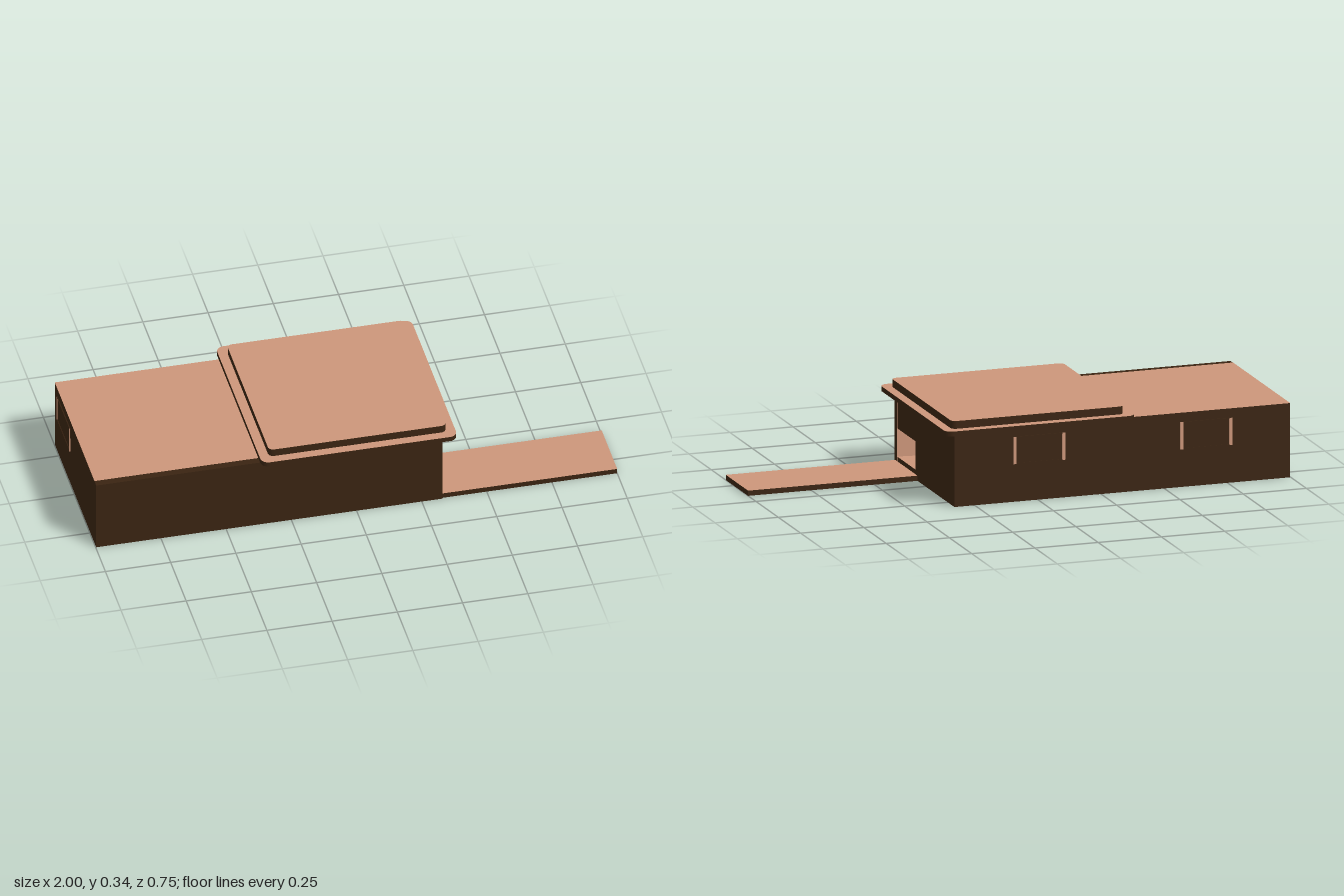
import * as THREE from 'three';

const dark = new THREE.MeshStandardMaterial({ color: 0x3a2412 });
const tan = new THREE.MeshStandardMaterial({ color: 0xcc967a });

// Box from min/max corners; tanSides lists faces (0:+x 1:-x 2:+y 3:-y 4:+z 5:-z) in the light colour
function block(name, [x0, x1], [y0, y1], [z0, z1], tanSides = []) {
  const mats = [0, 1, 2, 3, 4, 5].map((i) => (tanSides.includes(i) ? tan : dark));
  const mesh = new THREE.Mesh(new THREE.BoxGeometry(x1 - x0, y1 - y0, z1 - z0), mats);
  mesh.position.set((x0 + x1) / 2, (y0 + y1) / 2, (z0 + z1) / 2);
  mesh.name = name;
  return mesh;
}

function roundedRect(w, d, r) {
  const s = new THREE.Shape();
  const a = w / 2 - r, b = d / 2 - r;
  s.absarc(a, b, r, 0, Math.PI / 2);
  s.absarc(-a, b, r, Math.PI / 2, Math.PI);
  s.absarc(-a, -b, r, Math.PI, Math.PI * 1.5);
  s.absarc(a, -b, r, Math.PI * 1.5, Math.PI * 2);
  s.closePath();
  return s;
}

// Roof slab with rounded corners: dark body and light top
function roofSlab(name, w, d, r, y0, y1) {
  const g = new THREE.Group();
  g.name = name;
  const shape = roundedRect(w, d, r);
  const body = new THREE.Mesh(
    new THREE.ExtrudeGeometry(shape, { depth: y1 - y0 - 0.001, bevelEnabled: false, curveSegments: 4 }), dark);
  const top = new THREE.Mesh(new THREE.ShapeGeometry(shape, 4), tan);
  body.name = name + 'Body';
  top.name = name + 'Top';
  top.position.z = y1 - y0;
  g.add(body, top);
  g.rotation.x = -Math.PI / 2;
  g.position.set(0.005, y0, 0);
  return g;
}

// Window facing +z: dark pane between two light jambs, with head and sill
function windowUnit(w, h) {
  const g = new THREE.Group();
  g.name = 'window';
  g.add(block('windowPane', [-w / 2, w / 2], [-h / 2, h / 2], [-0.002, 0.002]));
  for (const s of [-1, 1]) {
    const x = s * (w / 2 - 0.006);
    g.add(block('windowJamb', [x - 0.006, x + 0.006], [-h / 2, h / 2], [-0.002, 0.004], [0, 1, 4]));
    const y = s * (h / 2 - 0.002);
    g.add(block('windowRail', [-w / 2 + 0.012, w / 2 - 0.012], [y - 0.002, y + 0.002], [-0.002, 0.004]));
  }
  return g;
}

export function createModel() {
  const model = new THREE.Group();
  model.name = 'house';

  // Hollow main building, light on the inside
  model.add(
    block('floor', [-0.97, 0.29], [0, 0.036], [-0.295, 0.315], [2]),
    block('frontWall', [-0.998, 0.33], [0, 0.285], [0.315, 0.343], [5]),
    block('backWall', [-0.998, 0.33], [0, 0.284], [-0.325, -0.295], [4]),
    block('endWall', [-0.998, -0.97], [0, 0.284], [-0.295, 0.315]),
    block('flatRoof', [-0.998, 0.33], [0.265, 0.286], [-0.325, 0.315], [2, 3]),
  );

  // Entrance wall around the doorway
  const [dz0, dz1, dy0, dy1] = [0.11, 0.313, 0.038, 0.147];
  const wx = [0.29, 0.33];
  model.add(
    block('doorSill', wx, [0, dy0], [dz0, dz1], [2]),
    block('doorLintel', wx, [dy1, 0.265], [dz0, dz1], [3]),
    block('doorSideWall', wx, [0, 0.265], [-0.295, dz0], [4]),
  );

  // Stepped roof over the entrance end
  model.add(roofSlab('roofEave', 0.75, 0.753, 0.03, 0.286, 0.305));
  model.add(roofSlab('roofCap', 0.68, 0.682, 0.02, 0.305, 0.335));

  // Entrance ramp
  model.add(block('ramp', [0.33, 1], [0, 0.02], [0.088, 0.338], [2]));

  // Windows: two on the back wall, one on the far end wall
  for (const x of [-0.005, -0.665]) {
    const win = windowUnit(0.205, 0.105);
    win.position.set(x, 0.198, -0.325);
    win.rotation.y = Math.PI;
    model.add(win);
  }
  const endWindow = windowUnit(0.215, 0.105);
  endWindow.position.set(-0.997, 0.198, -0.18);
  endWindow.rotation.y = -Math.PI / 2;
  model.add(endWindow);

  return model;
}
